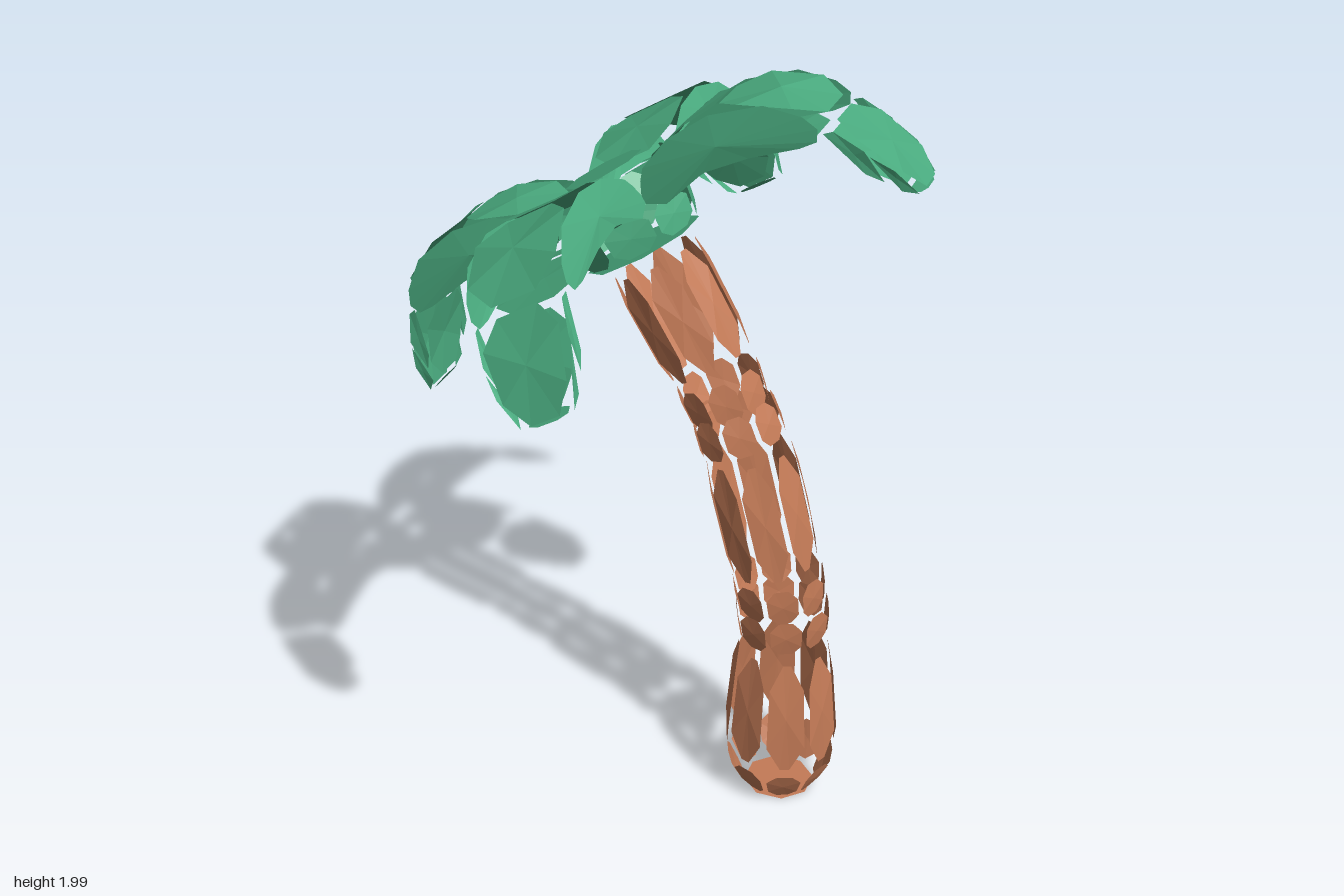
import * as THREE from 'three';

const V = (x, y, z) => new THREE.Vector3(x, y, z);

// One many-sided plate as a triangle fan, wound so that it faces `out`
function poly(list, pts, out, center) {
  const c = center || pts.reduce((s, p) => s.add(p), V(0, 0, 0)).divideScalar(pts.length);
  const n = V(0, 0, 0);
  pts.forEach((p, i) => n.add(p.clone().sub(c).cross(pts[(i + 1) % pts.length].clone().sub(c))));
  const ring = n.dot(out) < 0 ? [...pts].reverse() : pts;
  ring.forEach((p, i) => list.push(c, p, ring[(i + 1) % ring.length]));
}

// Eight-sided plate on a patch f(u, v), with u and v from -1 to 1
function panel(list, f, out, uEnd = 0.45, vIn = 0.5) {
  const uv = [[-uEnd, -1], [uEnd, -1], [1, -vIn], [1, vIn], [uEnd, 1], [-uEnd, 1], [-1, vIn], [-1, -vIn]];
  poly(list, uv.map(([u, v]) => f(u, v)), out, f(0, 0));
}

function toMesh(list, material, name) {
  const g = new THREE.BufferGeometry().setFromPoints(list);
  g.computeVertexNormals();
  const m = new THREE.Mesh(g, material);
  m.name = name;
  return m;
}

// Ring of eight plates around a leaning axis
function plateRing(list, [x0, y0, r0, x1, y1, r1], bulge, uEnd, vIn, width = 0.84) {
  const a = V(x0, y0, 0), b = V(x1, y1, 0);
  const axis = b.clone().sub(a).normalize();
  const side = V(axis.y, -axis.x, 0);
  for (let k = 0; k < 8; k++) {
    const phi = (k + 0.5) * Math.PI / 4;
    const out = side.clone().multiplyScalar(Math.cos(phi)).add(V(0, 0, Math.sin(phi)));
    const across = side.clone().multiplyScalar(-Math.sin(phi)).add(V(0, 0, Math.cos(phi)));
    panel(list, (u, v) => {
      const t = (v + 1) / 2;
      const r = r0 + (r1 - r0) * t + bulge * (1 - v * v);
      return a.clone().lerp(b, t)
        .addScaledVector(out, r * Math.cos(Math.PI / 8))
        .addScaledVector(across, u * width * r * Math.sin(Math.PI / 8));
    }, out, uEnd, vIn);
  }
}

function disc(list, y, r, up) {
  const pts = [];
  for (let i = 0; i < 8; i++) {
    const a = (i + 0.5) * Math.PI / 4;
    pts.push(V(r * Math.cos(a), y, r * Math.sin(a)));
  }
  poly(list, pts, V(0, up, 0));
}

// Plate across a frond: from (r0,h0) to (r1,h1), bowed by `bow`, half widths w0 to w1
function crossPlate(list, [r0, h0, r1, h1], bow, w0, w1, sign, uEnd = 0.5, vIn = 0.5) {
  const n = V(-(h1 - h0), r1 - r0, 0).normalize();
  panel(list, (u, v) => {
    const t = (v + 1) / 2;
    return V(r0 + (r1 - r0) * t, h0 + (h1 - h0) * t, u * (w0 + (w1 - w0) * t))
      .addScaledVector(n, bow * (1 - v * v));
  }, n.clone().multiplyScalar(sign), uEnd, vIn);
}

function frondPlates() {
  const list = [];
  // upper plates
  crossPlate(list, [0.15, 0.035, 0.375, 0.1], 0.018, 0.115, 0.13, 1);
  crossPlate(list, [0.39, 0.1, 0.62, -0.02], 0.03, 0.13, 0.125, 1);
  crossPlate(list, [0.63, -0.045, 0.745, -0.27], 0.018, 0.115, 0.08, 1);
  // lower plates
  crossPlate(list, [0.18, -0.05, 0.355, -0.022], 0.008, 0.12, 0.125, -1);
  crossPlate(list, [0.365, -0.024, 0.565, -0.062], 0.008, 0.13, 0.12, -1);
  crossPlate(list, [0.59, -0.075, 0.7, -0.25], 0.012, 0.11, 0.08, -1);
  // tip end
  crossPlate(list, [0.705, -0.262, 0.742, -0.278], 0, 0.055, 0.055, -1);
  // long arched cheeks and tip slivers
  const cheek = [[0.126, -0.03], [0.15, 0.02], [0.171, 0.046], [0.263, 0.085], [0.384, 0.096], [0.517, 0.065],
    [0.59, 0.005], [0.61, -0.034], [0.595, -0.06], [0.55, -0.058], [0.426, -0.032], [0.306, -0.021], [0.183, -0.054]];
  const slivers = [
    [[0.612, -0.05, 0.125], [0.635, -0.055, 0.122], [0.68, -0.125, 0.12], [0.685, -0.21, 0.105], [0.655, -0.175, 0.112]],
    [[0.685, -0.14, 0.12], [0.718, -0.195, 0.105], [0.735, -0.272, 0.075], [0.705, -0.25, 0.085]],
  ];
  for (const s of [1, -1]) {
    const out = V(0, 0, s);
    poly(list, cheek.map(([r, h]) => V(r, h, s * 0.135)), out, V(0.37, 0.025, s * 0.145));
    slivers.forEach(p => poly(list, p.map(([r, h, w]) => V(r, h, s * w)), out));
  }
  return list;
}

export function createModel() {
  const model = new THREE.Group();
  model.name = 'palmTree';
  const bark = new THREE.MeshStandardMaterial({ color: 0xc47b57, side: THREE.DoubleSide });
  bark.name = 'barkBrown';
  const leaf = new THREE.MeshStandardMaterial({ color: 0x4aab7f, side: THREE.DoubleSide });
  leaf.name = 'leafGreen';

  // Trunk: alternating long and short rings of bark plates [x0, y0, r0, x1, y1, r1]
  const long = [
    [0.345, 0.14, 0.158, 0.345, 0.46, 0.128],
    [0.315, 0.70, 0.12, 0.235, 1.02, 0.12],
    [0.13, 1.255, 0.115, -0.02, 1.515, 0.12],
  ];
  const short = [
    [0.345, 0.015, 0.105, 0.345, 0.11, 0.155],
    [0.342, 0.49, 0.118, 0.337, 0.59, 0.13],
    [0.335, 0.58, 0.115, 0.322, 0.68, 0.128],
    [0.222, 1.045, 0.118, 0.185, 1.145, 0.112],
    [0.19, 1.12, 0.105, 0.145, 1.225, 0.115],
  ];
  const barkList = [];
  long.forEach(r => plateRing(barkList, r, 0.01, 0.25, 0.55));
  short.forEach(r => plateRing(barkList, r, 0.004, 0.45, 0.5));
  model.add(toMesh(barkList, bark, 'trunk'));

  // Trunk base
  const baseList = [];
  disc(baseList, 0, 0.095, -1);
  const base = toMesh(baseList, bark, 'trunkBase');
  base.position.x = 0.345;
  model.add(base);

  // Crown, leaning with the trunk
  const crown = new THREE.Group();
  crown.name = 'crown';
  crown.position.set(-0.125, 1.675, 0);
  crown.rotation.z = Math.PI / 6;
  const core = [];
  disc(core, 0.06, 0.105, 1);
  disc(core, -0.15, 0.155, -1);
  plateRing(core, [0, -0.14, 0.165, 0, -0.05, 0.18], 0.004, 0.5, 0.5, 0.88);
  // small plates in the corners between fronds
  for (let k = 0; k < 4; k++) {
    const a = (k + 0.5) * Math.PI / 2, c = Math.cos(a), s = Math.sin(a);
    panel(core, (u, v) => V(c * (0.175 - 0.015 * v) - s * u * 0.035, 0.005 + 0.04 * v, s * (0.175 - 0.015 * v) + c * u * 0.035),
      V(c, 0.3, s));
  }
  crown.add(toMesh(core, leaf, 'crownCore'));

  // Four drooping fronds
  const plates = frondPlates();
  for (let k = 0; k < 4; k++) {
    const frond = toMesh(plates, leaf, 'frond' + (k + 1));
    frond.rotation.y = k * Math.PI / 2;
    crown.add(frond);
  }
  model.add(crown);
  return model;
}
